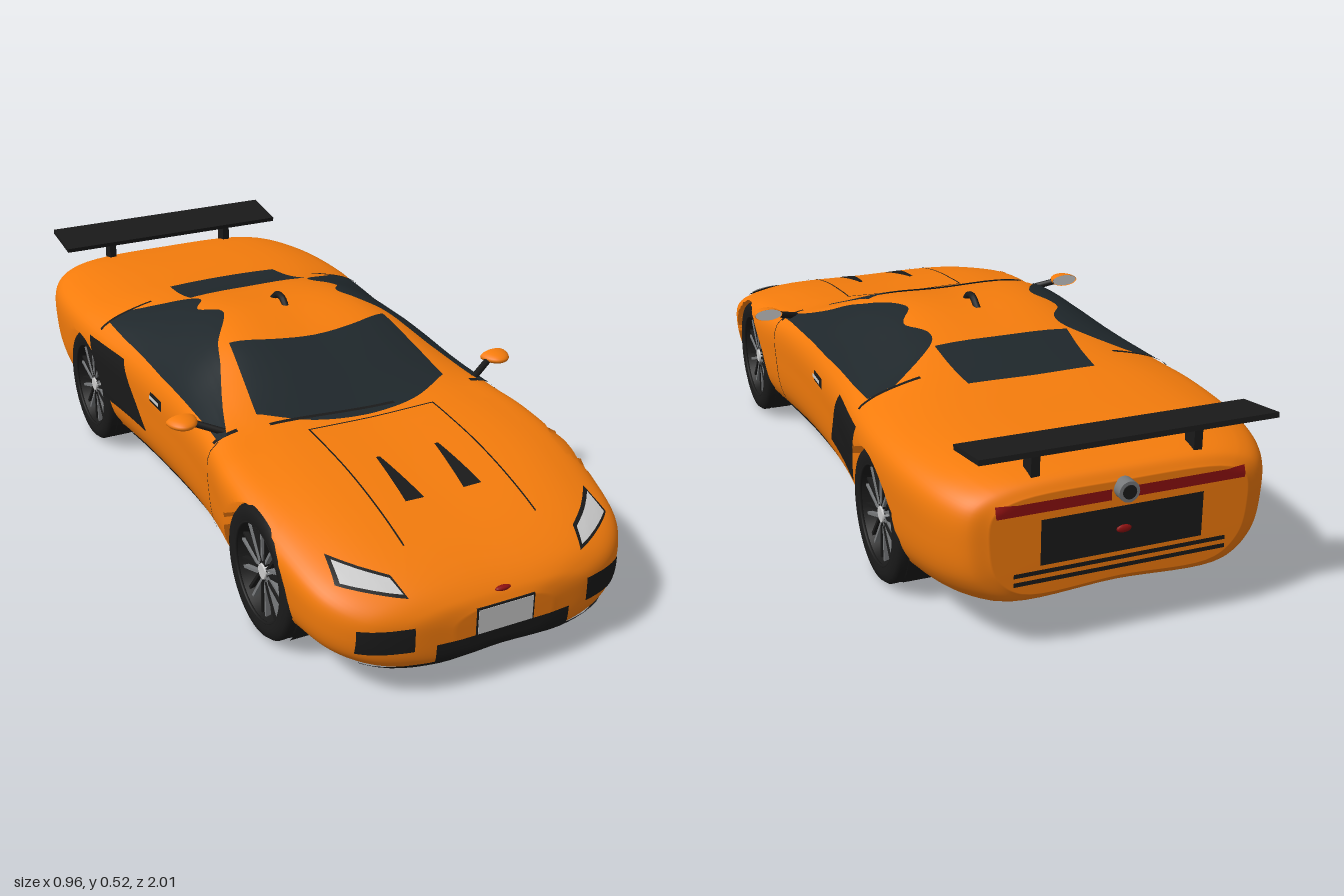
import * as THREE from 'three';

const mat = (color, side = THREE.FrontSide) => new THREE.MeshStandardMaterial({ color, side });
const paint = mat(0xf57c0c), paint2 = mat(0xf57c0c, THREE.DoubleSide);
const glass = mat(0x1f272b, THREE.DoubleSide), black = mat(0x1a1a1a, THREE.DoubleSide);
const grey = mat(0x77797b), light = mat(0xcccccc, THREE.DoubleSide), red = mat(0x8e1010, THREE.DoubleSide);
const WHEELS = [0.605, -0.535], WHEEL_Y = 0.16, ARCH = 0.168;

// Body stations: z, half width, floor y, shoulder y, roof edge x, roof edge y, centre y
const STATIONS = [
  [1.0, .12, .10, .17, .08, .19, .195], [.985, .24, .085, .19, .17, .215, .22],
  [.95, .325, .075, .21, .24, .243, .25], [.88, .385, .07, .24, .28, .277, .285],
  [.75, .415, .065, .28, .30, .32, .325], [.6, .423, .06, .318, .31, .352, .355],
  [.45, .418, .055, .338, .30, .368, .37], [.36, .405, .052, .346, .28, .376, .376],
  [.28, .395, .05, .352, .285, .395, .402], [.18, .388, .05, .356, .26, .432, .445],
  [.05, .385, .05, .36, .235, .475, .485], [-.1, .388, .05, .36, .22, .486, .5],
  [-.25, .398, .052, .363, .23, .465, .482], [-.4, .415, .055, .366, .27, .428, .446],
  [-.55, .425, .06, .368, .31, .412, .428], [-.75, .415, .08, .362, .32, .402, .418],
  [-.88, .385, .105, .35, .31, .39, .405], [-.945, .345, .125, .34, .28, .375, .39],
  [-.965, .30, .145, .33, .25, .355, .365]];

// Control ring of one station: floor centre, up the left side, over the roof, down the right
function ring([z, w, yb, ys, xt, yt, yc]) {
  const half = [[.76 * w, yb], [.945 * w, yb + .25 * (ys - yb)], [w, yb + .62 * (ys - yb)], [.978 * w, ys], [xt, yt]];
  return [[0, yb], ...half, [0, yc], ...half.reverse().map(([x, y]) => [-x, y])]
    .map(([x, y]) => new THREE.Vector3(x, y, z));
}

// Smooth hull through the stations, closed at both ends
function hullGeometry(perStation, cols) {
  const rings = STATIONS.map(ring);
  const rails = rings[0].map((_, i) => new THREE.CatmullRomCurve3(rings.map(r => r[i])));
  const n = (STATIONS.length - 1) * perStation, pos = [], index = [];
  for (let r = -1; r <= n + 1; r++) {
    const t = Math.min(Math.max(r / n, 0), 1);
    const pts = rails.map(c => c.getPoint(t));
    const loop = new THREE.CatmullRomCurve3(pts, true);
    const mid = pts[0].clone().add(pts[6]).multiplyScalar(.5);
    for (let c = 0; c < cols; c++) {
      const p = r < 0 || r > n ? mid : loop.getPoint(c / cols);
      pos.push(p.x, p.y, p.z);
    }
  }
  for (let r = 0; r < n + 2; r++) for (let c = 0; c < cols; c++) {
    const a = r * cols + c, b = r * cols + (c + 1) % cols;
    index.push(a, a + cols, b, b, a + cols, b + cols);
  }
  const g = new THREE.BufferGeometry();
  g.setAttribute('position', new THREE.Float32BufferAttribute(pos, 3));
  g.setIndex(index);
  g.computeVertexNormals();
  return g;
}

// Press the wheel arches into the hull
function cutArches(g) {
  const p = g.attributes.position;
  for (let i = 0; i < p.count; i++) for (const wz of WHEELS) {
    const x = p.getX(i), dy = p.getY(i) - WHEEL_Y, dz = p.getZ(i) - wz, d = Math.hypot(dy, dz);
    if (Math.abs(x) < .255 || d > ARCH + .008) continue;
    if (d > ARCH - .008) p.setXYZ(i, x, WHEEL_Y + dy * ARCH / d, wz + dz * ARCH / d);
    else p.setX(i, Math.sign(x) * .255);
  }
  return g;
}

// Projection axes for panels laid on the hull: ray origin from (p, q), ray direction
const AXES = {
  top: [(p, q) => [p, 2, q], [0, -1, 0]], bottom: [(p, q) => [p, -2, q], [0, 1, 0]],
  front: [(p, q) => [p, q, 3], [0, 0, -1]], back: [(p, q) => [p, q, -3], [0, 0, 1]],
  side: [(p, q) => [2, q, p], [-1, 0, 0]]
};

export function createModel() {
  const car = new THREE.Group();
  car.name = 'sportsCar';
  const add = (name, geo, material, x = 0, y = 0, z = 0, parent = car) => {
    const m = new THREE.Mesh(geo, material);
    m.name = name;
    m.position.set(x, y, z);
    parent.add(m);
    return m;
  };
  const box = (...s) => new THREE.BoxGeometry(...s);

  add('body', cutArches(hullGeometry(10, 96)), paint);
  const hull = new THREE.Mesh(hullGeometry(6, 72), paint2);
  const ray = new THREE.Raycaster();

  // Panel ruled between two edges and laid on the hull; both = also mirrored
  function drape(name, material, view, edgeA, edgeB, both = false, n = 20, m = 8, lift = .004) {
    const [from, dirArr] = AXES[view], dir = new THREE.Vector3(...dirArr);
    const [ca, cb] = [edgeA, edgeB].map(e => new THREE.SplineCurve(e.map(p => new THREE.Vector2(...p))));
    const pos = [], index = [];
    let last = new THREE.Vector3();
    for (let i = 0; i <= n; i++) for (let j = 0; j <= m; j++) {
      const q = ca.getPoint(i / n).lerp(cb.getPoint(i / n), j / m);
      ray.set(new THREE.Vector3(...from(q.x, q.y)), dir);
      const hit = ray.intersectObject(hull)[0];
      if (hit) last = hit.point.clone().addScaledVector(hit.face.normal, hit.face.normal.dot(dir) > 0 ? -lift : lift);
      pos.push(last.x, last.y, last.z);
      if (i < n && j < m) {
        const a = i * (m + 1) + j, b = a + m + 1;
        index.push(a, b, a + 1, a + 1, b, b + 1);
      }
    }
    for (const s of both ? [1, -1] : [1]) {
      const g = new THREE.BufferGeometry();
      g.setAttribute('position', new THREE.Float32BufferAttribute(pos.map((v, k) => k % 3 ? v : v * s), 3));
      g.setIndex(index);
      g.computeVertexNormals();
      add(name, g, material);
    }
  }
  const rect = (name, material, view, x0, x1, y0, y1, both, n = 14, m = 5, lift) =>
    drape(name, material, view, [[x0, y0], [x1, y0]], [[x0, y1], [x1, y1]], both, n, m, lift);

  // Glass
  drape('windscreen', glass, 'top', [[-.262, .3], [-.14, .365], [0, .385], [.14, .365], [.262, .3]],
    [[-.222, .055], [-.12, .085], [0, .095], [.12, .085], [.222, .055]], false, 24, 14);
  drape('sideWindow', glass, 'top',
    [[.377, .33], [.372, .24], [.369, .14], [.368, .05], [.368, -.04], [.368, -.12], [.37, -.2], [.374, -.28], [.376, -.35], [.376, -.41]],
    [[.355, .335], [.315, .22], [.27, .11], [.24, .03], [.19, -.05], [.17, -.11], [.207, -.18], [.168, -.25], [.19, -.31], [.31, -.41]],
    true, 44, 14);
  drape('rearWindow', glass, 'top', [[-.175, -.31], [.175, -.31]], [[-.162, -.495], [0, -.502], [.162, -.495]]);
  rect('cabinRearTrim', black, 'top', .25, .4, -.41, -.42, true, 12, 1);
  rect('cabinFrontTrim', black, 'top', .325, .385, .322, .334, true, 8, 1);
  drape('wiper', black, 'top', [[-.25, .345], [.08, .362]], [[-.25, .355], [.08, .372]], false, 12, 1, .009);

  // Bonnet seams and vents
  rect('bonnetSeam', black, 'top', .169, .173, .4, .85, true, 1, 24);
  rect('bonnetSeam', black, 'top', -.173, .173, .4, .404, false, 16, 1);
  drape('bonnetVent', black, 'top', [[.052, .735], [.1, .735]], [[.074, .57], [.084, .57]], true, 6, 10);

  // Nose
  drape('headlamp', black, 'front', [[.35, .262], [.22, .24]], [[.338, .296], [.235, .272]], true, 12, 6);
  drape('headlampLens', light, 'front', [[.34, .264], [.228, .246]], [[.333, .29], [.24, .268]], true, 12, 6, .007);
  rect('foglamp', black, 'front', .22, .335, .13, .188, true);
  rect('grille', black, 'front', -.17, .17, .087, .135, false);
  rect('frontLip', black, 'front', -.31, .31, .082, .092, false, 24, 2);
  add('frontPlateFrame', box(.148, .076, .02), black, 0, .16, 1.0 - .008);
  add('frontPlate', box(.14, .068, .006), light, 0, .16, 1.0);
  const badge = new THREE.SphereGeometry(1, 16, 8);
  add('noseBadge', badge, red, 0, .222, .984).scale.set(.02, .006, .008);

  // Flanks
  drape('sideIntake', black, 'side', [[-.13, .185], [-.39, .185]], [[-.25, .35], [-.455, .35]], true, 14, 12);
  rect('doorHandle', black, 'side', 0, -.075, .3, .326, true, 4, 3);
  rect('doorHandleGrip', light, 'side', -.007, -.068, .311, .321, true, 4, 2, .009);
  rect('doorSeam', black, 'side', .335, .338, .12, .36, true, 1, 14);
  rect('sillTrim', black, 'side', .42, -.36, .064, .078, true, 20, 2);

  // Tail
  rect('tailLampStrip', red, 'back', .03, .29, .327, .352, true, 14, 3);
  rect('rearPanel', black, 'back', -.19, .19, .205, .31, false);
  for (const y of [.165, .185]) rect('rearVent', black, 'back', -.25, .25, y, y + .01, false, 18, 1);
  add('rearBadge', badge, red, 0, .258, -.972).scale.set(.018, .009, .005);
  add('tailRound', new THREE.CylinderGeometry(.024, .024, .03, 24).rotateX(Math.PI / 2), grey, 0, .35, -.975);
  add('tailRoundCentre', new THREE.CylinderGeometry(.016, .016, .032, 24).rotateX(Math.PI / 2), black, 0, .35, -.976);

  // Floor strips and slots
  rect('floorStrip', black, 'bottom', .3, .315, .4, -.36, true, 2, 20);
  for (const x of [.04, .12]) drape('floorSlot', black, 'bottom', [[x, -.56], [x + .02, -.56]], [[x, -.66], [x + .02, -.66]], true, 2, 6);

  // Wing
  add('wing', box(.685, .012, .138), black, 0, .465, -.932).rotation.x = .15;
  for (const s of [1, -1]) add('wingStrut', box(.02, .075, .04), black, s * .19, .425, -.915);

  // Roof aerial
  const aerial = new THREE.CatmullRomCurve3([[-.07, .49], [-.09, .51], [-.12, .514], [-.155, .49]].map(([z, y]) => new THREE.Vector3(0, y, z)));
  add('roofAerial', new THREE.TubeGeometry(aerial, 12, .009, 10), black);

  // Door mirrors
  const shell = new THREE.SphereGeometry(1, 24, 12, 0, Math.PI);
  for (const s of [1, -1]) {
    const arm = new THREE.LineCurve3(new THREE.Vector3(s * .35, .372, .31), new THREE.Vector3(s * .43, .4, .268));
    add('mirrorArm', new THREE.TubeGeometry(arm, 1, .009, 8), black);
    add('mirrorShell', shell, paint2, s * .441, .4, .258).scale.set(.038, .016, .052);
    add('mirrorGlass', new THREE.CircleGeometry(1, 24), light, s * .441, .4, .26).scale.set(.036, .015, 1);
  }

  // Wheels: grooved tyre, rim, twin spokes, hub
  const V = (r, x) => new THREE.Vector2(r, x);
  const tyrePts = [V(.118, -.06), V(.135, -.064), V(.152, -.06), V(.16, -.05)];
  for (const x of [-.03, -.01, .01, .03]) tyrePts.push(V(.16, x - .004), V(.154, x - .003), V(.154, x + .003), V(.16, x + .004));
  tyrePts.push(V(.16, .05), V(.152, .06), V(.135, .064), V(.118, .06));
  const lathe = pts => new THREE.LatheGeometry(pts, 48).rotateZ(-Math.PI / 2);
  const tyre = lathe(tyrePts);
  const barrel = lathe([V(0, -.02), V(.1, -.02), V(.112, .03), V(.12, .058)]);
  const rimLip = new THREE.TorusGeometry(.119, .004, 8, 48).rotateY(Math.PI / 2);
  const hub = new THREE.CylinderGeometry(.018, .024, .02, 20).rotateZ(-Math.PI / 2);
  const liner = new THREE.CylinderGeometry(ARCH - .001, ARCH - .001, .13, 48, 1, true, Math.PI * .25, Math.PI * 1.5).rotateZ(-Math.PI / 2);
  for (const z of WHEELS) for (const s of [1, -1]) {
    const wheel = new THREE.Group();
    wheel.name = z > 0 ? 'frontWheel' : 'rearWheel';
    wheel.position.set(s * .347, WHEEL_Y, z);
    if (s < 0) wheel.rotation.y = Math.PI;
    car.add(wheel);
    add('tyre', tyre, black, 0, 0, 0, wheel);
    add('rimBarrel', barrel, black, 0, 0, 0, wheel);
    add('rimLip', rimLip, black, .057, 0, 0, wheel);
    add('hub', hub, light, .038, 0, 0, wheel);
    for (let i = 0; i < 10; i++) for (const k of [-1, 1]) {
      const spoke = box(.012, .1, .007).translate(.038, .067, k * .007).rotateX(i * Math.PI / 5 + k * .03);
      add('spoke', spoke, k > 0 ? grey : black, 0, 0, 0, wheel);
    }
    // Dark arch lining, open towards the ground
    const lining = add('archLining', liner, black, s * .318, WHEEL_Y, z);
    lining.rotation.x = Math.PI / 2;
    const top = new THREE.Box3().setFromObject(lining);
    if (top.max.y < WHEEL_Y + ARCH - .01) lining.rotation.x = -Math.PI / 2;
  }
  return car;
}
